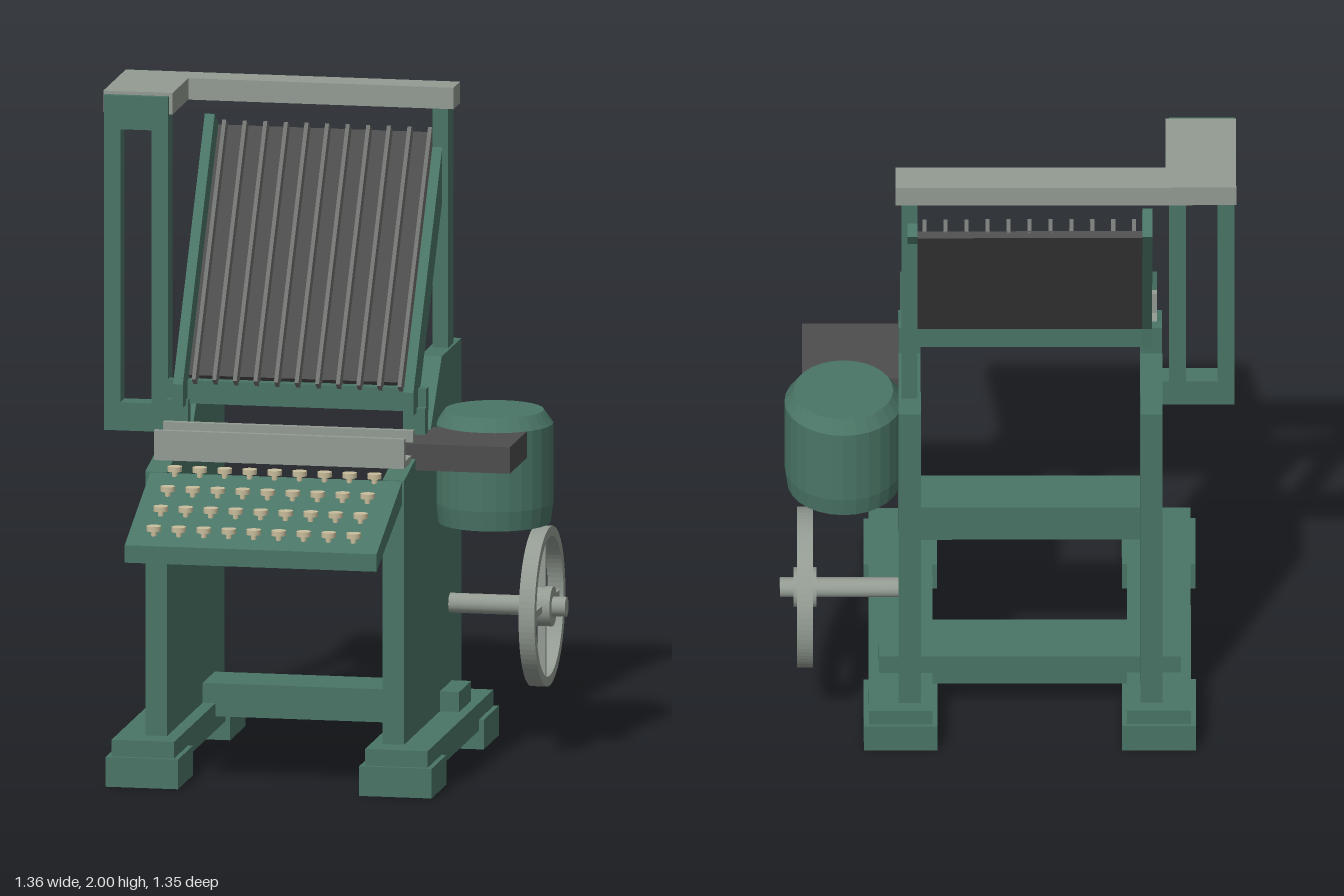
import * as THREE from 'three';

const mat = (color, flatShading = false) => new THREE.MeshStandardMaterial({ color, flatShading });
const GREEN = mat(0x4a7566), MOTOR = mat(0x4a7566, true), GREY = mat(0x939b93);
const DARK = mat(0x4d4d4d), RIB = mat(0x70736f), KEY = mat(0xc8bd9c);

export function createModel() {
  const model = new THREE.Group();

  const add = (name, geometry, material, parent = model) => {
    const mesh = new THREE.Mesh(geometry, material);
    mesh.name = name;
    parent.add(mesh);
    return mesh;
  };
  // Box given by its limits on each axis
  const box = (name, [x0, x1], [y0, y1], [z0, z1], material = GREEN, parent = model) => {
    const mesh = add(name, new THREE.BoxGeometry(x1 - x0, y1 - y0, z1 - z0), material, parent);
    mesh.position.set((x0 + x1) / 2, (y0 + y1) / 2, (z0 + z1) / 2);
    return mesh;
  };
  // Plate with a (z, y) outline, spanning x0 to x1
  const sidePlate = (name, outline, x0, x1, material = GREEN) => {
    const shape = new THREE.Shape(outline.map(([z, y]) => new THREE.Vector2(z, y)));
    const geometry = new THREE.ExtrudeGeometry(shape, { depth: x1 - x0, bevelEnabled: false });
    geometry.rotateY(-Math.PI / 2);
    return add(name, geometry, material).position.x = x1;
  };

  // Feet, rails, side panels and posts, one set per side
  const panel = [[-0.605, 0.14], [0.28, 0.14], [0.28, 0.94], [-0.13, 1.02], [-0.3, 1.21], [-0.605, 1.21]];
  for (const [side, cx] of [['right', -0.45], ['left', 0.32]]) {
    box(side + 'FrontFoot', [cx - 0.11, cx + 0.11], [0, 0.09], [0.155, 0.385]);
    box(side + 'BackFoot', [cx - 0.11, cx + 0.11], [0, 0.09], [-0.655, -0.42]);
    box(side + 'BaseRail', [cx - 0.095, cx + 0.095], [0.057, 0.14], [-0.645, 0.37]);
    const x0 = side === 'right' ? -0.46 : 0.26;
    sidePlate(side + 'SidePanel', panel, x0, x0 + 0.066);
    box(side + 'MagazineSupport', [x0, x0 + 0.066], [0.99, 1.1], [-0.085, -0.04]);
  }
  box('lowerCrossBar', [-0.515, 0.385], [0.1, 0.2], [-0.455, -0.27]);
  box('upperCrossBar', [-0.4, 0.27], [0.63, 0.75], [-0.45, -0.29]);

  // Sloping keyboard with rows of round keys
  sidePlate('keyboardDeck', [[0.28, 0.87], [0.675, 0.737], [0.675, 0.79], [0.28, 0.938]], -0.445, 0.32);
  const cap = new THREE.CylinderGeometry(0.022, 0.022, 0.015, 16);
  const stem = new THREE.CylinderGeometry(0.009, 0.009, 0.03, 8);
  for (let row = 0; row < 4; row++) {
    for (let col = 0; col < 9; col++) {
      const z = 0.292 + row * 0.1075, x = -0.368 + col * 0.0758;
      const y = 0.938 - 0.375 * (z - 0.28);
      add('keyCap', cap, KEY).position.set(x, y + 0.02, z);
      add('keyStem', stem, KEY).position.set(x, y, z);
    }
  }

  // Line channel above the keyboard
  box('channelFloor', [-0.445, 0.315], [0.965, 0.985], [0.065, 0.225], GREY);
  box('channelFront', [-0.445, 0.315], [0.965, 1.055], [0.205, 0.225], GREY);
  box('channelBack', [-0.445, 0.315], [0.965, 1.055], [0.062, 0.085], GREY);

  // Tilted magazine: rails, backing plate and ribs
  const rail = [[-0.1, 1.085], [0.005, 1.085], [0.005, 1.155], [-0.485, 1.885], [-0.56, 1.835], [-0.104, 1.155]];
  sidePlate('magazineRightRail', rail, -0.43, -0.4);
  sidePlate('magazineLeftRail', rail, 0.27, 0.3);
  box('magazineBeam', [-0.46, 0.325], [1.085, 1.155], [-0.1, -0.066]);
  const magazine = new THREE.Group();
  magazine.name = 'magazine';
  magazine.position.set(0, 1.155, -0.104);
  magazine.rotation.x = -0.594;
  model.add(magazine);
  box('magazinePlate', [-0.4, 0.27], [0, 0.815], [0, 0.022], DARK, magazine);
  for (let i = 0; i < 11; i++) {
    const x = -0.376 + i * 0.0625;
    box('magazineRib', [x - 0.006, x + 0.006], [-0.03, 0.815], [0.015, 0.06], RIB, magazine);
  }

  // Tall slotted frame, rear post and top cover
  const frame = new THREE.Shape([[-0.675, 0.975], [-0.45, 0.975], [-0.45, 1.06], [-0.48, 1.06], [-0.48, 1.99], [-0.675, 1.99]]
    .map(([x, y]) => new THREE.Vector2(x, y)));
  frame.holes.push(new THREE.Path([[-0.625, 1.06], [-0.625, 1.888], [-0.53, 1.888], [-0.53, 1.06]]
    .map(([x, y]) => new THREE.Vector2(x, y))));
  add('slottedFrame', new THREE.ExtrudeGeometry(frame, { depth: 0.068, bevelEnabled: false }), GREEN)
    .position.z = -0.24;
  box('rearPost', [0.27, 0.318], [1.2, 1.94], [-0.525, -0.44]);
  const cover = new THREE.Shape([[-0.68, 0.19], [-0.47, 0.19], [-0.47, 0.435], [0.335, 0.435], [0.335, 0.537], [-0.68, 0.537]]
    .map(([x, y]) => new THREE.Vector2(x, y)));
  const coverMesh = add('topCover', new THREE.ExtrudeGeometry(cover, { depth: 0.065, bevelEnabled: false }), GREY);
  coverMesh.rotation.x = -Math.PI / 2;
  coverMesh.position.y = 1.935;

  // Round pot and side shelf
  const pot = [[0, 0.72], [0.168, 0.72], [0.176, 0.78], [0.176, 1.02], [0.148, 1.06], [0, 1.06]]
    .map(([r, y]) => new THREE.Vector2(r, y));
  add('pot', new THREE.LatheGeometry(pot, 28), MOTOR).position.set(0.49, 0, -0.28);
  box('sideShelf', [0.292, 0.613], [0.94, 1.02], [-0.17, 0.107], DARK);

  // Flywheel on its shaft, modelled about the local y axis
  const wheel = new THREE.Group();
  wheel.name = 'flywheel';
  wheel.position.set(0.605, 0.44, -0.43);
  wheel.rotation.z = -Math.PI / 2;
  model.add(wheel);
  const rim = [[0.21, -0.024], [0.24, -0.024], [0.24, 0.024], [0.21, 0.024], [0.21, -0.024]];
  const rimShape = new THREE.Shape().absarc(0, 0, rim[1][0], 0, Math.PI * 2);
  rimShape.holes.push(new THREE.Path().absarc(0, 0, rim[0][0], 0, Math.PI * 2, true));
  const rimGeometry = new THREE.ExtrudeGeometry(rimShape, { depth: 0.048, bevelEnabled: false, curveSegments: 40 });
  rimGeometry.translate(0, 0, -0.024).rotateX(Math.PI / 2);
  add('wheelRim', rimGeometry, GREY, wheel);
  add('wheelHub', new THREE.CylinderGeometry(0.06, 0.06, 0.068, 24), GREY, wheel);
  add('wheelShaft', new THREE.CylinderGeometry(0.03, 0.03, 0.37, 20), GREY, wheel).position.y = -0.11;
  box('wheelSpoke', [-0.215, 0.215], [-0.012, 0.012], [-0.011, 0.011], GREY, wheel);
  box('wheelSpoke', [-0.011, 0.011], [-0.012, 0.012], [-0.215, 0.215], GREY, wheel);

  return model;
}
